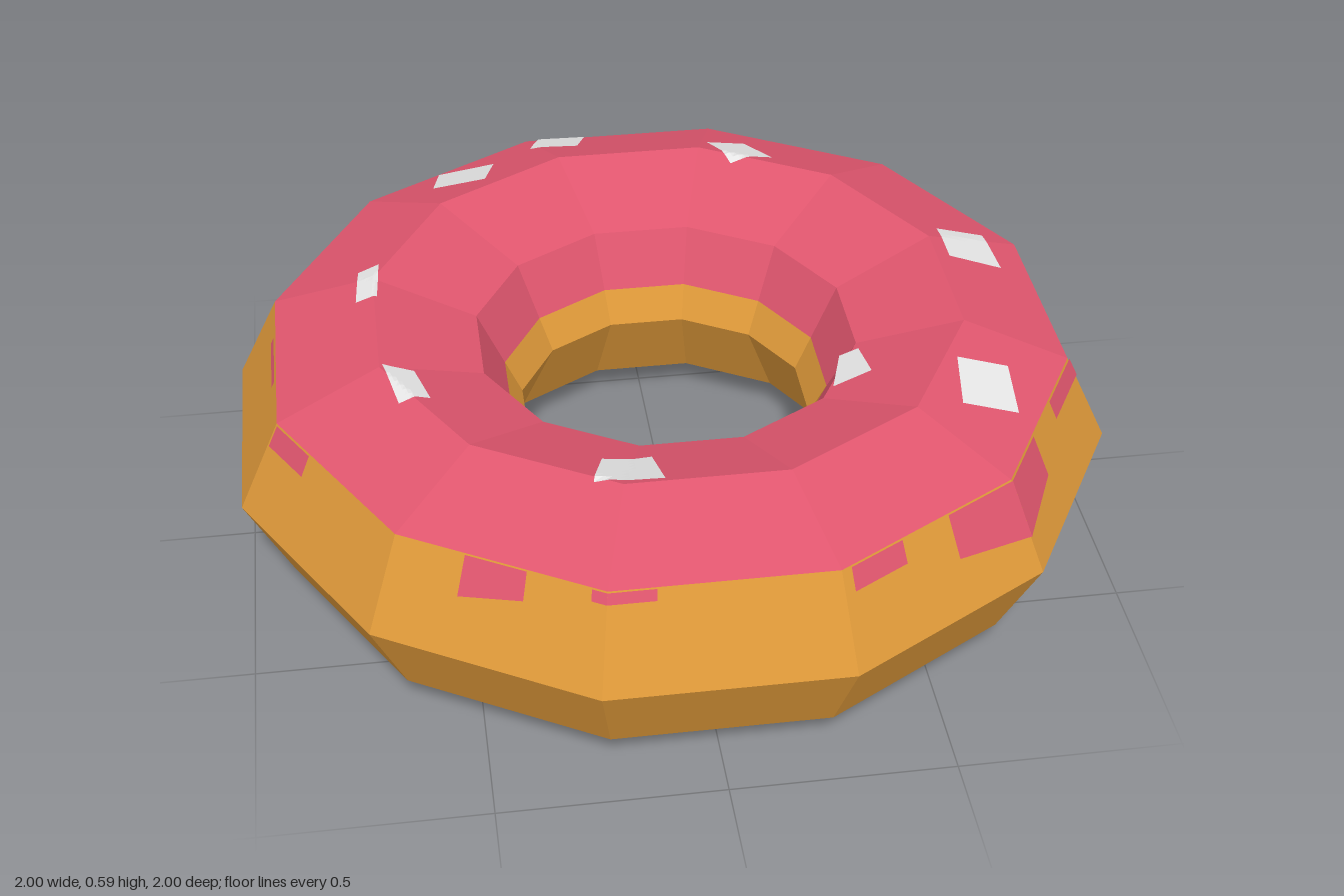
import * as THREE from 'three';
import { mergeGeometries } from 'three/addons/utils/BufferGeometryUtils.js';

const SIDES = 12;
const STEP = (Math.PI * 2) / SIDES;
const CORNER = 1 / Math.cos(STEP / 2); // flat-to-corner radius ratio
const LIFT = 0.004;

// Flat-shaded twelve-sided ring swept from a profile of [flat radius, height]
function ring(profile) {
  const points = profile.map(([r, y]) => new THREE.Vector2(r * CORNER, y));
  const geometry = new THREE.LatheGeometry(points, SIDES, STEP / 2).toNonIndexed();
  geometry.computeVertexNormals();
  return geometry;
}

// Patch of n x n cells from a rule (u, v) -> Vector3
function patch(rule, n) {
  const out = [];
  for (let i = 0; i < n; i++) {
    for (let j = 0; j < n; j++) {
      const a = rule(i / n, j / n), b = rule((i + 1) / n, j / n);
      const c = rule((i + 1) / n, (j + 1) / n), d = rule(i / n, (j + 1) / n);
      for (const p of [a, d, b, b, d, c]) out.push(p.x, p.y, p.z);
    }
  }
  const geometry = new THREE.BufferGeometry();
  geometry.setAttribute('position', new THREE.Float32BufferAttribute(out, 3));
  geometry.computeVertexNormals();
  return geometry;
}

// Point on the upper outer wall; s counts facets around from the front
function wallPoint(s, y) {
  const k = Math.floor(s + 1e-6);
  const r = (1 - (y - 0.295) * 0.469 + LIFT) * CORNER;
  const corner = (i) => {
    const a = (i - 0.5) * STEP;
    return new THREE.Vector3(Math.sin(a) * r, y, Math.cos(a) * r);
  };
  return corner(k).lerp(corner(k + 1), s - k);
}

// Drip panel inside one facet: start, end, lower edge at each end
function drip([s0, s1, y0, y1 = y0]) {
  const facet = Math.floor(s0);
  const end = Math.min(s1, facet + 0.9999);
  return patch((u, v) => {
    const s = THREE.MathUtils.lerp(s0, end, u);
    return wallPoint(s, THREE.MathUtils.lerp(0.503, THREE.MathUtils.lerp(y0, y1, u), v));
  }, 1);
}

// Height of the icing's upper surface
function topHeight(x, z) {
  let d = 0;
  for (let k = 0; k < SIDES; k++) {
    d = Math.max(d, x * Math.sin(k * STEP) + z * Math.cos(k * STEP));
  }
  return 0.59 - (Math.abs(d - 0.667) / 0.235) * 0.086 + LIFT;
}

// Sprinkle draped on the icing; corners run back-left, back-right, front-right, front-left
function sprinkle([ax, az, bx, bz, cx, cz, dx, dz]) {
  const mix = THREE.MathUtils.lerp;
  return patch((u, v) => {
    const x = mix(mix(ax, bx, u), mix(dx, cx, u), v);
    const z = mix(mix(az, bz, u), mix(dz, cz, u), v);
    return new THREE.Vector3(x, topHeight(x, z), z);
  }, 8);
}

export function createModel() {
  const material = (name, color) => {
    const m = new THREE.MeshStandardMaterial({ color });
    m.name = name;
    return m;
  };
  const doughColor = material('golden dough', 0xe09a3a);
  const icingColor = material('pink icing', 0xe0566e);
  const sprinkleColor = material('white sprinkle', 0xebebeb);

  const group = new THREE.Group();
  group.name = 'ringDoughnut';
  const add = (name, geometry, mat) => {
    const mesh = new THREE.Mesh(geometry, mat);
    mesh.name = name;
    group.add(mesh);
  };

  // Dough: inner wall, underside and outer wall
  add('dough', ring([
    [0.371, 0.375], [0.333, 0.295], [0.432, 0.086], [0.667, 0],
    [0.902, 0.086], [1, 0.295], [0.902, 0.504],
  ]), doughColor);

  // Icing: top and upper part of the hole
  add('icing', ring([
    [0.902, 0.504], [0.667, 0.59], [0.432, 0.504], [0.371, 0.375],
  ]), icingColor);

  // Icing running down the outer wall
  const drips = [
    [0, 0.21, 0.48], [1.05, 1.34, 0.455],
    [1.61, 2, 0.41, 0.378], [2, 2.35, 0.378, 0.41],
    [2.63, 3, 0.46], [3, 4, 0.48],
    [4, 4.33, 0.46], [4.33, 4.62, 0.305], [4.62, 4.9, 0.4],
    [5.63, 5.97, 0.455], [6.23, 6.48, 0.487], [7.04, 7.37, 0.455],
    [7.62, 8, 0.43, 0.38], [8, 8.12, 0.38, 0.4],
    [8.35, 8.66, 0.42, 0.445], [9.31, 9.67, 0.487],
    [10.02, 10.3, 0.455], [11.34, 11.63, 0.42, 0.445], [11.93, 12, 0.48],
  ];
  add('icingDrips', mergeGeometries(drips.map(drip)), icingColor);

  // Sprinkles scattered on the icing
  const sprinkles = [
    [-0.21, -0.9, -0.09, -0.89, -0.12, -0.78, -0.24, -0.8],
    [-0.48, -0.75, -0.34, -0.735, -0.37, -0.61, -0.5, -0.63],
    [0.21, -0.72, 0.31, -0.74, 0.36, -0.61, 0.25, -0.59],
    [-0.7, -0.23, -0.65, -0.24, -0.66, -0.1, -0.71, -0.1],
    [-0.66, 0.17, -0.59, 0.175, -0.56, 0.3, -0.63, 0.31],
    [-0.21, 0.535, -0.1, 0.52, -0.09, 0.66, -0.24, 0.65],
    [0.385, 0.155, 0.43, 0.15, 0.435, 0.27, 0.345, 0.285],
    [0.7, -0.235, 0.82, -0.25, 0.83, -0.1, 0.7, -0.1],
    [0.62, 0.31, 0.74, 0.31, 0.73, 0.455, 0.6, 0.455],
  ];
  add('sprinkles', mergeGeometries(sprinkles.map(sprinkle)), sprinkleColor);

  return group;
}
